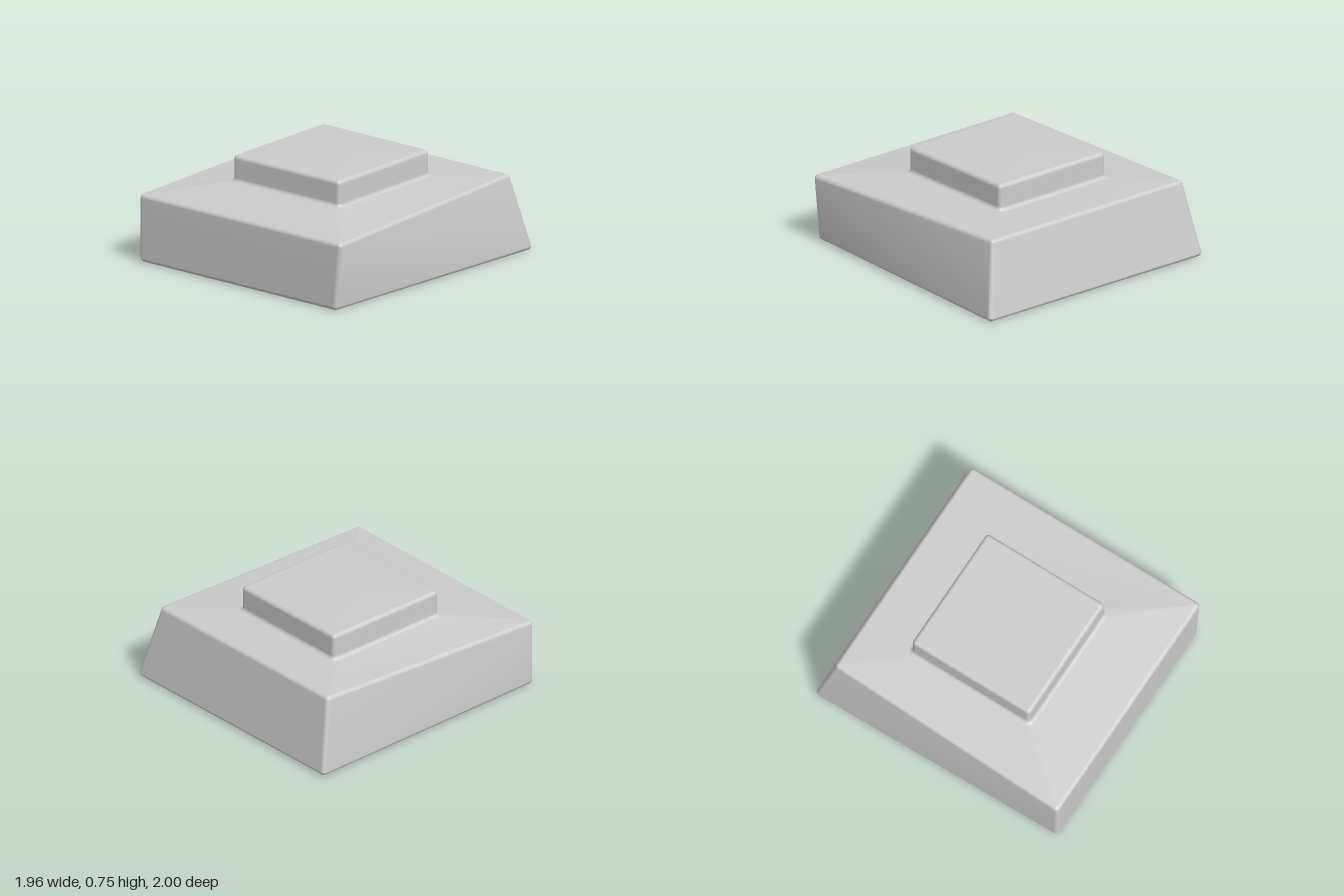
import * as THREE from 'three';

const R = 0.03;        // edge rounding
const ARC = 5;         // steps per rounded edge or corner
const N = 4 * (ARC + 1);

// Corners run counter-clockwise from above: front left, back left, back right, front right
const SIGNS = [[1, 1], [1, -1], [-1, -1], [-1, 1]];
const BOTTOM = [[0.86, 0, 1], [0.977, 0, -1], [-0.98, 0, -1], [-0.945, 0, 1]];
const SHOULDER = [[0.902, 0.5, 1], [0.872, 0.558, -0.893], [-0.9, 0.558, -0.893], [-0.945, 0.5, 1]];
const block = y => [[0.458, y, 0.488], [0.458, y, -0.495], [-0.518, y, -0.495], [-0.518, y, 0.488]];

// One rounded four-cornered loop, pulled in by inset and raised by dy
function ring(corners, inset, dy) {
  const r = Math.max(R - inset, 0.001), points = [];
  corners.forEach(([x, y, z], k) => {
    for (let i = 0; i <= ARC; i++) {
      const a = (k - 1 + i / ARC) * Math.PI / 2;
      points.push(new THREE.Vector3(
        x - SIGNS[k][0] * R + r * Math.cos(a), y + dy, z - SIGNS[k][1] * R - r * Math.sin(a)));
    }
  });
  return points;
}

// Skin the loops, folding each quad outward, and close both ends
function loft(rings) {
  const points = rings.flat(), index = [], core = new THREE.Vector3(0, 0.25, 0);
  for (let j = 0; j < rings.length - 1; j++) {
    for (let i = 0; i < N; i++) {
      const n = (i + 1) % N;
      const a = j * N + i, b = j * N + n, c = b + N, d = a + N;
      const ac = points[a].clone().add(points[c]).multiplyScalar(0.5).distanceTo(core);
      const bd = points[b].clone().add(points[d]).multiplyScalar(0.5).distanceTo(core);
      if (ac >= bd) index.push(a, b, c, a, c, d);
      else index.push(a, b, d, b, c, d);
    }
  }
  const last = (rings.length - 1) * N, low = points.length, high = low + 1;
  points.push(new THREE.Vector3(0, rings[0][0].y, 0));
  points.push(new THREE.Vector3(-0.03, rings[rings.length - 1][0].y, 0));
  for (let i = 0; i < N; i++) {
    const n = (i + 1) % N;
    index.push(low, n, i, high, last + i, last + n);
  }
  const geometry = new THREE.BufferGeometry().setFromPoints(points);
  geometry.setIndex(index);
  geometry.computeVertexNormals();
  return geometry;
}

export function createModel() {
  const rings = [];
  const sweep = make => {
    for (let k = 0; k <= ARC; k++) {
      const t = k / ARC * Math.PI / 2;
      rings.push(make(R * (1 - Math.sin(t)), R * (1 - Math.cos(t))));
    }
  };
  // Rounded bottom edge
  sweep((inset, rise) => ring(BOTTOM, inset, rise));
  // Rounded shoulder, level at the back and lower at the front
  sweep((drop, inset) => ring(SHOULDER, inset, -drop));
  // Hollow fillet where the raised block meets the slab
  sweep((outset, rise) => ring(block(0.557), -outset, rise));
  // Rounded top edge of the block
  sweep((drop, inset) => ring(block(0.75), inset, -drop));

  const body = new THREE.Mesh(loft(rings), new THREE.MeshStandardMaterial({ color: 0xcccccc }));
  body.name = 'taperedSlabWithRaisedBlock';
  const group = new THREE.Group();
  group.name = 'steppedBase';
  group.add(body);
  return group;
}
